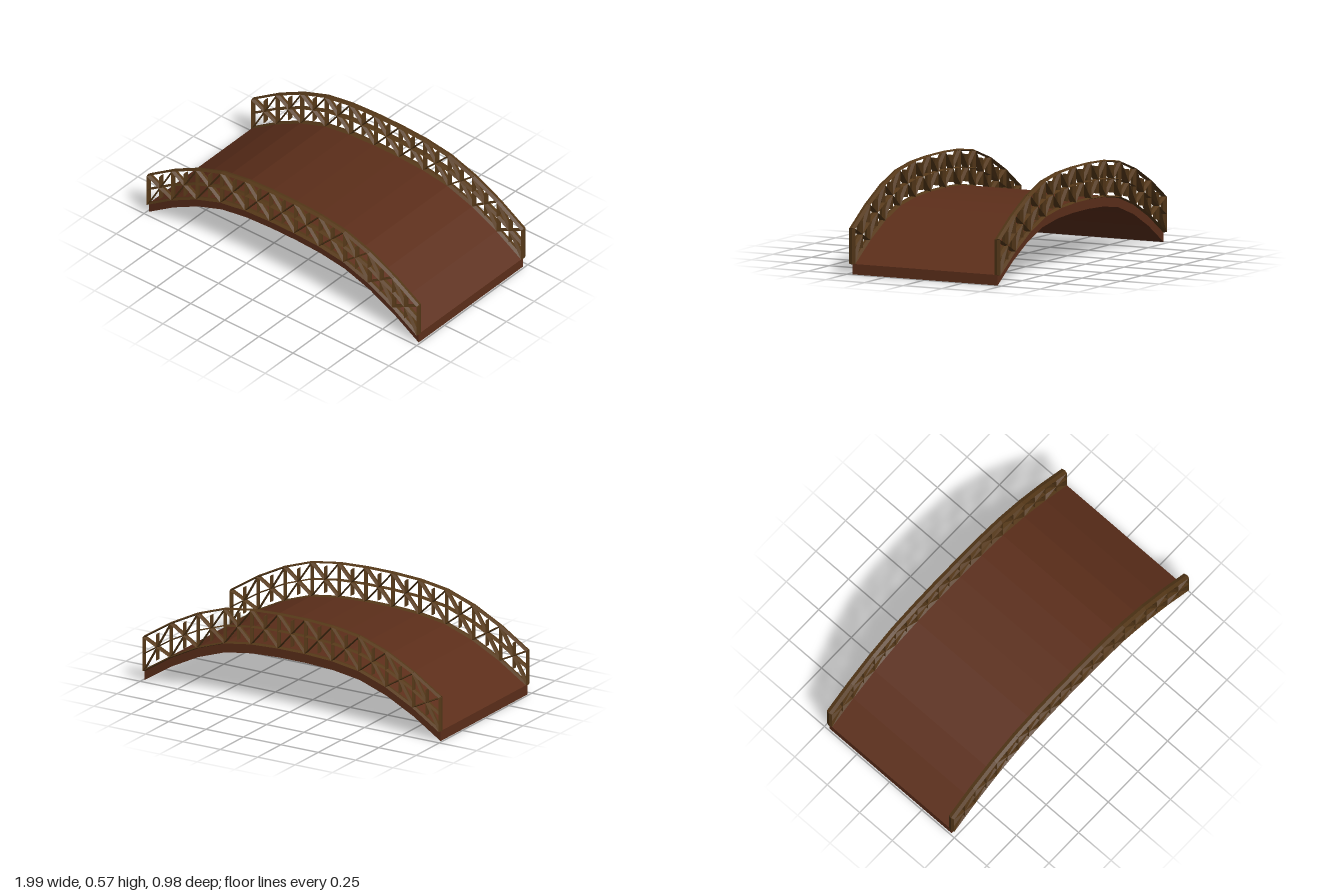
import * as THREE from 'three';

export function createModel() {
  const bridge = new THREE.Group();
  bridge.name = 'archedFootbridge';
  const deckMat = new THREE.MeshStandardMaterial({ color: 0x5c2e1a, flatShading: true });
  const railMat = new THREE.MeshStandardMaterial({ color: 0x553818, flatShading: true });

  // Heights of the walking surface at the twelve stations, mirrored about the crown
  const half = [0.06, 0.175, 0.266, 0.328, 0.355, 0.364];
  const heights = [...half, ...half.slice().reverse()];
  const step = 0.18;
  const base = heights.map((y, i) => new THREE.Vector2((i - 5.5) * step, y));
  const railHeight = 0.203;
  const thickness = 0.06;

  // Deck: faceted arch of constant depth
  const outline = [
    ...base.map(p => new THREE.Vector2(p.x, p.y - thickness)),
    ...base.slice().reverse(),
  ];
  const deckGeo = new THREE.ExtrudeGeometry(new THREE.Shape(outline), { depth: 0.94, bevelEnabled: false });
  deckGeo.translate(0, 0, -0.47);
  const deck = new THREE.Mesh(deckGeo, deckMat);
  deck.name = 'deck';
  bridge.add(deck);

  // Diamond-section beam lying in the railing plane
  function beam(parent, name, a, b, r = 0.006) {
    const d = b.clone().sub(a);
    const geo = new THREE.CylinderGeometry(1, 1, d.length(), 4);
    geo.scale(r, 1, 0.02);
    const mesh = new THREE.Mesh(geo, railMat);
    mesh.name = name;
    mesh.position.set((a.x + b.x) / 2, (a.y + b.y) / 2, 0);
    mesh.rotation.z = Math.atan2(-d.x, d.y);
    parent.add(mesh);
  }

  const raised = (p, h) => new THREE.Vector2(p.x, p.y + h);

  for (const side of [1, -1]) {
    const railing = new THREE.Group();
    railing.name = side > 0 ? 'frontRailing' : 'backRailing';
    railing.position.z = side * 0.47;

    // Posts at every station
    base.forEach(p => beam(railing, 'post', p, raised(p, railHeight)));

    // Rails, crossed braces and a short middle strut in each bay
    for (let i = 0; i < base.length - 1; i++) {
      const a = base[i], b = base[i + 1];
      beam(railing, 'bottomRail', a, b);
      beam(railing, 'middleRail', raised(a, railHeight / 2), raised(b, railHeight / 2), 0.004);
      beam(railing, 'topRail', raised(a, railHeight), raised(b, railHeight));
      beam(railing, 'brace', a, raised(b, railHeight), 0.005);
      beam(railing, 'brace', b, raised(a, railHeight), 0.005);
      const mid = a.clone().add(b).multiplyScalar(0.5);
      beam(railing, 'middleStrut', raised(mid, 0.023), raised(mid, railHeight - 0.023), 0.003);
    }
    bridge.add(railing);
  }
  return bridge;
}
